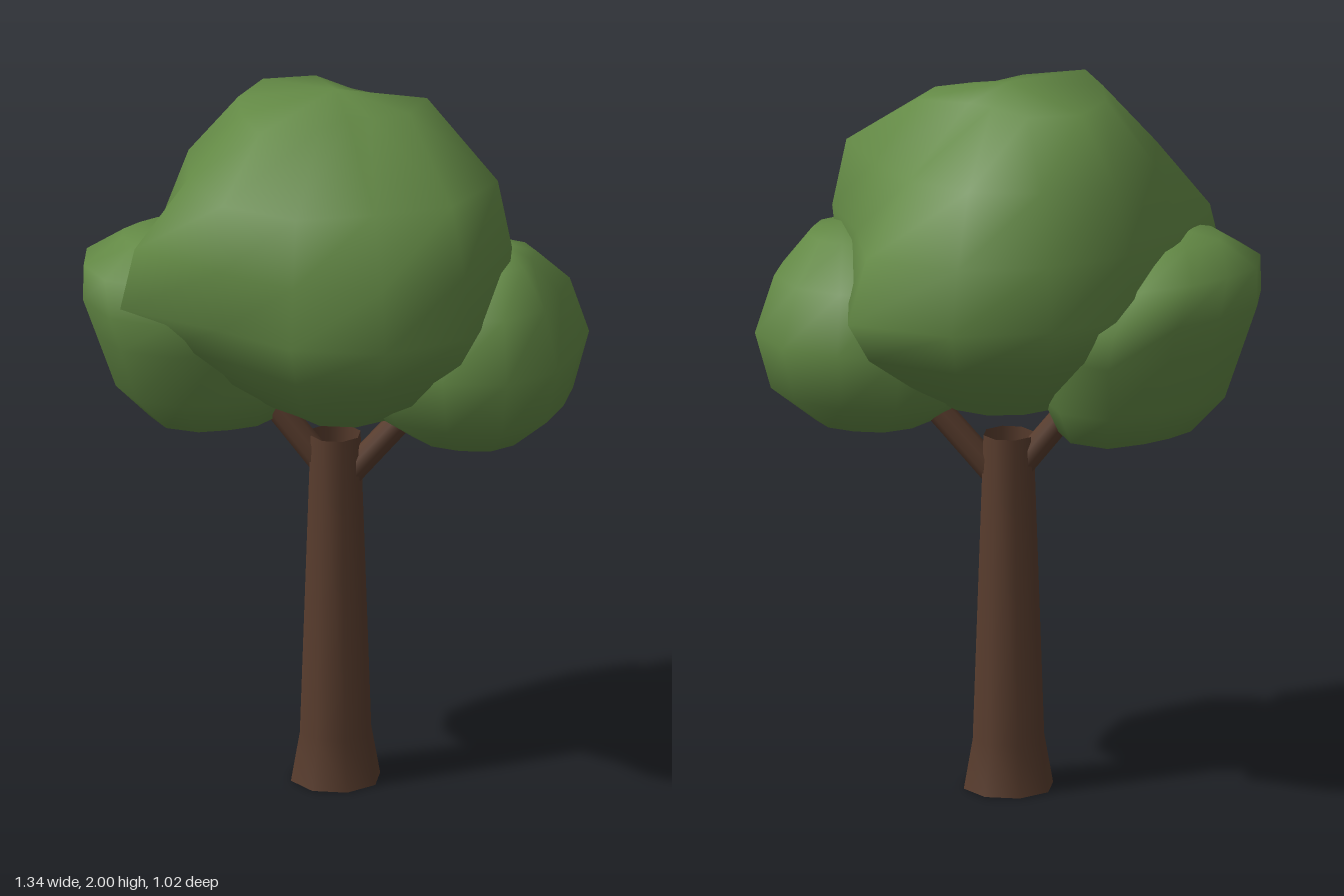
import * as THREE from 'three';

const bark = new THREE.MeshStandardMaterial({ color: 0x583c2d, side: THREE.DoubleSide });
bark.name = 'bark brown';
const leaves = new THREE.MeshStandardMaterial({ color: 0x638945 });
leaves.name = 'leaf green';

function add(group, name, geometry, material) {
  const mesh = new THREE.Mesh(geometry, material);
  mesh.name = name;
  group.add(mesh);
  return mesh;
}

// Scale an outline (radii at equal angles, from +x towards +z) into one ring
const ring = (outline, y, scale, dx = 0, dz = 0) => ({ y, dx, dz, radii: outline.map((r) => r * scale) });

// Irregular leaf clump: rings stacked from bottom to top, closed by two points
function clump([cx, cz], rings, bottom, top) {
  const n = rings[0].radii.length;
  const pos = [];
  const index = [];
  for (const { y, dx, dz, radii } of rings) {
    radii.forEach((r, i) => {
      const a = (i / n) * Math.PI * 2;
      pos.push(cx + dx + Math.cos(a) * r, y, cz + dz + Math.sin(a) * r);
    });
  }
  const low = rings.length * n;
  const high = low + 1;
  pos.push(...bottom, ...top);
  for (let i = 0; i < n; i++) {
    const j = (i + 1) % n;
    for (let k = 0; k < rings.length - 1; k++) {
      const a = k * n + i, b = k * n + j;
      index.push(a, a + n, b, b, a + n, b + n);
    }
    index.push(low, i, j, high, low - n + j, low - n + i);
  }
  const g = new THREE.BufferGeometry();
  g.setAttribute('position', new THREE.Float32BufferAttribute(pos, 3));
  g.setIndex(index);
  g.computeVertexNormals();
  return g;
}

// Straight branch between two points
function branch(group, name, from, to) {
  const a = new THREE.Vector3(...from);
  const b = new THREE.Vector3(...to);
  const dir = b.clone().sub(a);
  const mesh = add(group, name, new THREE.CylinderGeometry(0.035, 0.037, dir.length(), 8), bark);
  mesh.position.copy(a).add(b).multiplyScalar(0.5);
  mesh.quaternion.setFromUnitVectors(new THREE.Vector3(0, 1, 0), dir.normalize());
}

export function createModel() {
  const tree = new THREE.Group();
  tree.name = 'tree';

  // Trunk with a flared foot
  const profile = [[0.125, 0], [0.1, 0.14], [0.07, 1]].map(([r, y]) => new THREE.Vector2(r, y));
  add(tree, 'trunk', new THREE.LatheGeometry(profile, 8), bark).position.z = -0.025;

  // Two branches reaching into the side clumps
  branch(tree, 'leftBranch', [0.03, 0.88, -0.01], [0.26, 1.16, 0.07]);
  branch(tree, 'rightBranch', [-0.03, 0.91, -0.04], [-0.23, 1.18, -0.12]);

  // Large crown, folded in at the upper back left
  const under = [0.3, 0.33, 0.36, 0.37, 0.35, 0.29, 0.34, 0.32, 0.34, 0.35, 0.36, 0.36];
  const lower = [0.39, 0.42, 0.46, 0.46, 0.43, 0.38, 0.48, 0.43, 0.45, 0.46, 0.5, 0.52];
  const middle = [0.44, 0.47, 0.52, 0.51, 0.48, 0.45, 0.61, 0.5, 0.51, 0.51, 0.55, 0.6];
  const shoulder = [0.42, 0.49, 0.49, 0.475, 0.46, 0.46, 0.57, 0.49, 0.47, 0.46, 0.49, 0.53];
  const upper = [0.37, 0.45, 0.44, 0.39, 0.43, 0.44, 0.42, 0.42, 0.42, 0.39, 0.38, 0.37];
  const peak = [0.25, 0.2, 0.13, 0.11, 0.17, 0.3, 0.27, 0.28, 0.29, 0.24, 0.14, 0.14];
  add(tree, 'crown', clump([0, 0], [
    ring(under, 1.1, 0.53), ring(under, 1.2, 1), ring(lower, 1.31, 1), ring(middle, 1.43, 1),
    ring(shoulder, 1.6, 1), ring(upper, 1.79, 1), ring(peak, 1.96, 1),
  ], [0, 1.05, 0], [0, 2, -0.03]), leaves);

  // Smaller side clumps
  const left = [0.32, 0.29, 0.32, 0.34, 0.33, 0.35, 0.37, 0.37, 0.35, 0.34, 0.32, 0.33];
  add(tree, 'leftClump', clump([0.35, 0.13], [
    ring(left, 1.03, 0.47), ring(left, 1.13, 0.86), ring(left, 1.29, 1),
    ring(left, 1.45, 0.8, 0.01), ring(left, 1.55, 0.42, 0.03, 0.03),
  ], [0.32, 1, 0.13], [0.42, 1.58, 0.16]), leaves);

  const right = [0.34, 0.3, 0.28, 0.26, 0.29, 0.32, 0.31, 0.3, 0.27, 0.29, 0.37, 0.38];
  add(tree, 'rightClump', clump([-0.36, -0.17], [
    ring(right, 1.04, 0.58, 0.06), ring(right, 1.14, 0.8, 0.03), ring(right, 1.3, 0.95, 0.02),
    ring(right, 1.4, 1), ring(right, 1.5, 0.8, -0.06), ring(right, 1.57, 0.42, -0.07),
  ], [-0.32, 1.02, -0.18], [-0.44, 1.59, -0.17]), leaves);

  return tree;
}
